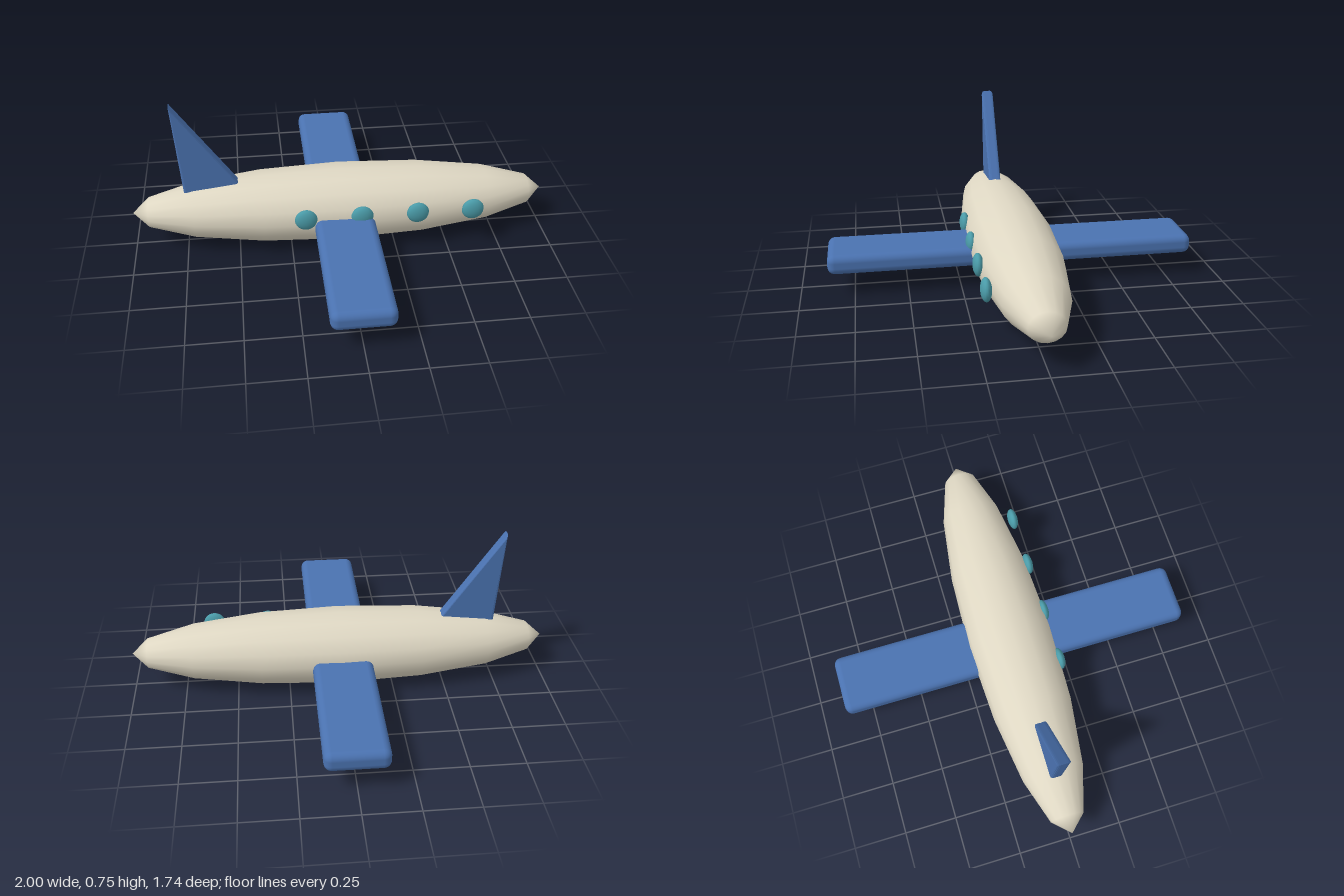
import * as THREE from 'three';
import { RoundedBoxGeometry } from 'three/addons/geometries/RoundedBoxGeometry.js';

function material(name, color) {
  const m = new THREE.MeshStandardMaterial({ color });
  m.name = name;
  return m;
}

export function createModel() {
  const group = new THREE.Group();
  group.name = 'airplane';
  const cream = material('cream', 0xded7c3);
  const blue = material('blue', 0x4a72b0);
  const teal = material('teal', 0x4a9ba8);

  const add = (name, geometry, mat, x, y, z) => {
    const mesh = new THREE.Mesh(geometry, mat);
    mesh.name = name;
    mesh.position.set(x, y, z);
    group.add(mesh);
    return mesh;
  };

  // Fuselage: coarse sphere with its poles at nose and tail, stretched along x
  const body = new THREE.SphereGeometry(1, 16, 8);
  body.rotateZ(-Math.PI / 2);
  body.scale(1, 0.179, 0.21);
  add('fuselage', body, cream, 0, 0.183, 0);

  // Wings: one rounded slab through the body
  add('wings', new RoundedBoxGeometry(0.285, 0.095, 1.74, 3, 0.035), blue, 0, 0.159, 0);

  // Tail fin: bevelled swept triangle, its foot sunk into the body
  const outline = new THREE.Shape([
    new THREE.Vector2(-0.743, 0.2),
    new THREE.Vector2(-0.4, 0.2),
    new THREE.Vector2(-0.78, 0.75),
  ]);
  const bevel = 0.015;
  const fin = new THREE.ExtrudeGeometry(outline, {
    depth: 0.03, bevelEnabled: true, bevelThickness: bevel,
    bevelSize: bevel, bevelOffset: -bevel, bevelSegments: 3,
  });
  add('tailFin', fin, blue, 0, 0, -0.015);

  // Row of round windows along the front side
  const pane = new THREE.SphereGeometry(1, 16, 12);
  pane.scale(0.053, 0.053, 0.025);
  for (let i = 0; i < 4; i++) {
    add('window' + (i + 1), pane, teal, -0.185 + i * 0.265, 0.215, 0.199);
  }

  return group;
}
